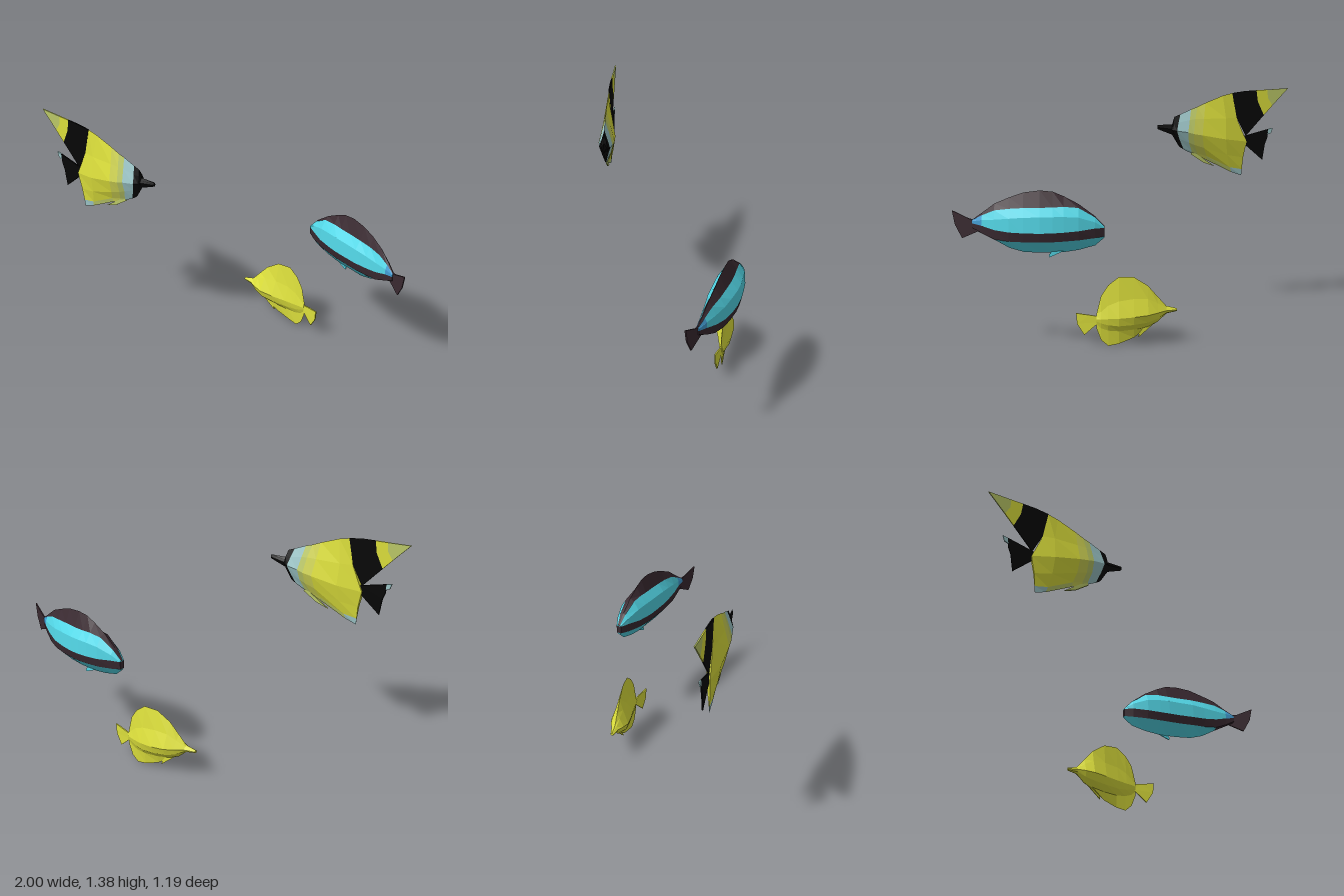
import * as THREE from 'three';

const paint = (name, color) => Object.assign(new THREE.MeshStandardMaterial({ color }), { name });
const yellow = paint('yellow', 0xdde03c);
const softYellow = paint('soft yellow', 0xd0d455);
const black = paint('black', 0x060606);
const paleTeal = paint('pale teal', 0x9dc6c8);
const paleGreen = paint('pale green', 0xbcc968);
const turquoise = paint('turquoise', 0x53d8e8);
const darkPlum = paint('dark plum', 0x3a2a31);
const blue = paint('blue', 0x429cd2);

// Piecewise linear curve giving the z of a fish's centre plane at x
function spine(points) {
  return x => {
    let i = 0;
    while (i < points.length - 2 && x > points[i + 1][0]) i++;
    const [x0, z0] = points[i], [x1, z1] = points[i + 1];
    return z0 + (z1 - z0) * (x - x0) / (x1 - x0);
  };
}

// Faceted body: stations run along +x, each [x or list of x, list of y from top to bottom, half width]
function body(name, stations, bulge, zAt, colourOf) {
  const group = new THREE.Group();
  group.name = name;
  const last = bulge.length - 1, count = last * 2;
  const row = k => (k <= last ? k : count - k);
  const rings = stations.map(([xs, ys, w]) => Array.from({ length: count }, (_, k) => {
    const r = row(k), x = Array.isArray(xs) ? xs[r] : xs;
    return [x, ys[r], zAt(x) + (k <= last ? 1 : -1) * w * bulge[r]];
  }));
  const buckets = new Map();
  const addQuad = (mat, a, b, c, d) => {
    if (!buckets.has(mat)) buckets.set(mat, []);
    buckets.get(mat).push(...a, ...b, ...c, ...a, ...c, ...d);
  };
  for (let i = 0; i < rings.length - 1; i++) {
    for (let k = 0; k < count; k++) {
      const n = (k + 1) % count;
      addQuad(colourOf(i, Math.min(row(k), row(n))), rings[i][k], rings[i][n], rings[i + 1][n], rings[i + 1][k]);
    }
  }
  // End caps, one strip per row
  const first = rings[0], end = rings[rings.length - 1];
  for (let r = 0; r < last; r++) {
    const m = (count - r) % count, n = count - r - 1;
    addQuad(colourOf(0, r), first[m], first[n], first[r + 1], first[r]);
    addQuad(colourOf(rings.length - 2, r), end[r], end[r + 1], end[n], end[m]);
  }
  for (const [mat, positions] of buckets) {
    const geo = new THREE.BufferGeometry();
    geo.setAttribute('position', new THREE.Float32BufferAttribute(positions, 3));
    geo.computeVertexNormals();
    const mesh = new THREE.Mesh(geo, mat);
    mesh.name = `${name} ${mat.name}`;
    group.add(mesh);
  }
  return group;
}

// Thin plate fin following the centre plane
function fin(name, points, mat, zAt) {
  const depth = 0.008;
  const shape = new THREE.Shape(points.map(p => new THREE.Vector2(...p)));
  const geo = new THREE.ExtrudeGeometry(shape, { depth, bevelEnabled: false });
  const pos = geo.attributes.position;
  for (let i = 0; i < pos.count; i++) pos.setZ(i, pos.getZ(i) - depth / 2 + zAt(pos.getX(i)));
  geo.computeVertexNormals();
  const mesh = new THREE.Mesh(geo, mat);
  mesh.name = name;
  return mesh;
}

function fish(name, ...parts) {
  const group = new THREE.Group();
  group.name = name;
  group.add(...parts);
  return group;
}

// Tall banded fish, facing +x
function bandedFish() {
  const z = spine([[-1, 0.59], [-0.7, 0.528], [-0.42, 0.462], [-0.17, 0.4]]);
  const bands = [yellow, yellow, softYellow, paleGreen, paleTeal, black, black, black];
  const colours = (i, r) => {
    if (r === 4 && i < 2) return i === 0 ? paleTeal : paleGreen;
    return bands[i];
  };
  return fish('bandedFish',
    body('bandedBody', [
      [[-0.64, -0.67, -0.735, -0.715, -0.708, -0.705], [1.355, 1.2, 1.05, 0.95, 0.875, 0.836], 0.012],
      [[-0.58, -0.6, -0.6, -0.61, -0.63, -0.64], [1.34, 1.2, 1.07, 0.97, 0.89, 0.858], 0.04],
      [[-0.47, -0.46, -0.45, -0.46, -0.48, -0.48], [1.297, 1.2, 1.1, 1.02, 0.965, 0.94], 0.049],
      [[-0.42, -0.405, -0.395, -0.4, -0.42, -0.42], [1.274, 1.2, 1.11, 1.04, 0.985, 0.968], 0.048],
      [[-0.38, -0.37, -0.36, -0.365, -0.385, -0.385], [1.26, 1.195, 1.12, 1.055, 0.997, 0.984], 0.044],
      [[-0.312, -0.3, -0.29, -0.305, -0.33, -0.335], [1.23, 1.18, 1.13, 1.08, 1.02, 1.01], 0.035],
      [[-0.275, -0.268, -0.265, -0.275, -0.3, -0.305], [1.215, 1.18, 1.135, 1.1, 1.04, 1.03], 0.025],
      [-0.26, [1.168, 1.155, 1.14, 1.12, 1.108, 1.105], 0.017],
      [-0.17, [1.168, 1.16, 1.153, 1.147, 1.143, 1.142], 0.006],
    ], [0.04, 0.5, 1, 0.6, 0.15, 0.04], z, colours),
    fin('dorsalBand', [[-0.64, 1.355], [-0.72, 1.366], [-0.795, 1.37], [-0.805, 1.3], [-0.845, 1.213],
      [-0.73, 1.085], [-0.67, 1.2]], black, z),
    fin('dorsalStripe', [[-0.795, 1.37], [-0.865, 1.373], [-0.87, 1.32], [-0.9, 1.273],
      [-0.845, 1.213], [-0.805, 1.3]], yellow, z),
    fin('dorsalTip', [[-0.865, 1.373], [-1, 1.38], [-0.9, 1.273], [-0.87, 1.32]], paleGreen, z),
    fin('tail', [[-0.72, 1.085], [-0.875, 1.125], [-0.87, 1.07], [-0.855, 1.03], [-0.84, 0.93],
      [-0.72, 1.035]], black, z),
    fin('tailTip', [[-0.875, 1.125], [-0.905, 1.132], [-0.895, 1.1], [-0.87, 1.09]], paleTeal, z),
    fin('pelvicFin', [[-0.39, 1], [-0.53, 0.9], [-0.46, 0.925], [-0.38, 0.98]], paleGreen, z));
}

// Long striped fish, facing -x
function stripedFish() {
  const z = spine([[0.16, -0.52], [0.5, -0.52], [0.7, -0.505], [0.85, -0.475], [1, -0.43]]);
  const rows = [darkPlum, turquoise, turquoise, darkPlum, turquoise];
  const stripes = (i, r) => {
    if (i === 9 && (r === 1 || r === 2)) return blue;
    return i >= 8 && r === 4 ? darkPlum : rows[r];
  };
  return fish('stripedFish',
    body('stripedBody', [
      [0.158, [0.702, 0.7, 0.698, 0.695, 0.648, 0.64], 0.016],
      [0.21, [0.758, 0.754, 0.73, 0.696, 0.642, 0.595], 0.04],
      [0.3, [0.825, 0.808, 0.76, 0.686, 0.634, 0.57], 0.066],
      [0.38, [0.868, 0.815, 0.765, 0.68, 0.629, 0.558], 0.075],
      [0.44, [0.893, 0.812, 0.765, 0.677, 0.626, 0.555], 0.079],
      [0.51, [0.9, 0.81, 0.763, 0.675, 0.624, 0.555], 0.078],
      [0.6, [0.888, 0.808, 0.76, 0.675, 0.624, 0.558], 0.072],
      [0.68, [0.86, 0.802, 0.752, 0.677, 0.625, 0.58], 0.06],
      [0.76, [0.825, 0.79, 0.742, 0.685, 0.632, 0.622], 0.042],
      [0.83, [0.772, 0.76, 0.735, 0.703, 0.66, 0.655], 0.024],
      [0.885, [0.732, 0.73, 0.724, 0.712, 0.69, 0.68], 0.01],
    ], [0.05, 0.44, 0.92, 1, 0.85, 0.05], z, stripes),
    fin('tail', [[0.85, 0.735], [0.9, 0.735], [1, 0.778], [0.985, 0.7], [0.945, 0.625], [0.845, 0.672]],
      darkPlum, z),
    fin('pelvicFin', [[0.36, 0.575], [0.46, 0.53], [0.465, 0.54], [0.44, 0.575]], turquoise, z));
}

// Round plain fish, facing -x
function roundFish() {
  const z = spine([[-0.25, -0.345], [-0.07, -0.39], [0.06, -0.425], [0.14, -0.433], [0.2, -0.438], [0.32, -0.428]]);
  return fish('roundFish',
    body('roundBody', [
      [-0.25, [0.195, 0.193, 0.187, 0.181, 0.179, 0.178], 0.01],
      [-0.19, [0.212, 0.205, 0.19, 0.176, 0.17, 0.168], 0.024],
      [-0.14, [0.27, 0.235, 0.185, 0.15, 0.126, 0.122], 0.045],
      [-0.085, [0.335, 0.265, 0.178, 0.134, 0.103, 0.096], 0.06],
      [-0.005, [0.39, 0.27, 0.172, 0.125, 0.09, 0.04], 0.056],
      [0.08, [0.395, 0.26, 0.166, 0.12, 0.085, 0.01], 0.042],
      [0.14, [0.35, 0.235, 0.162, 0.125, 0.09, 0], 0.027],
      [0.18, [0.29, 0.2, 0.16, 0.135, 0.105, 0.035], 0.017],
      [0.205, [0.19, 0.172, 0.158, 0.145, 0.13, 0.1], 0.009],
    ], [0.05, 0.42, 1, 0.75, 0.18, 0.05], z, () => yellow),
    fin('tail', [[0.19, 0.172], [0.24, 0.18], [0.32, 0.19], [0.315, 0.13], [0.275, 0.065], [0.19, 0.14]], yellow, z),
    fin('pelvicFin', [[-0.13, 0.125], [-0.03, 0.04], [-0.035, 0.065], [-0.07, 0.11]], yellow, z));
}

export function createModel() {
  const model = new THREE.Group();
  model.name = 'threeFish';
  model.add(bandedFish(), stripedFish(), roundFish());
  return model;
}
